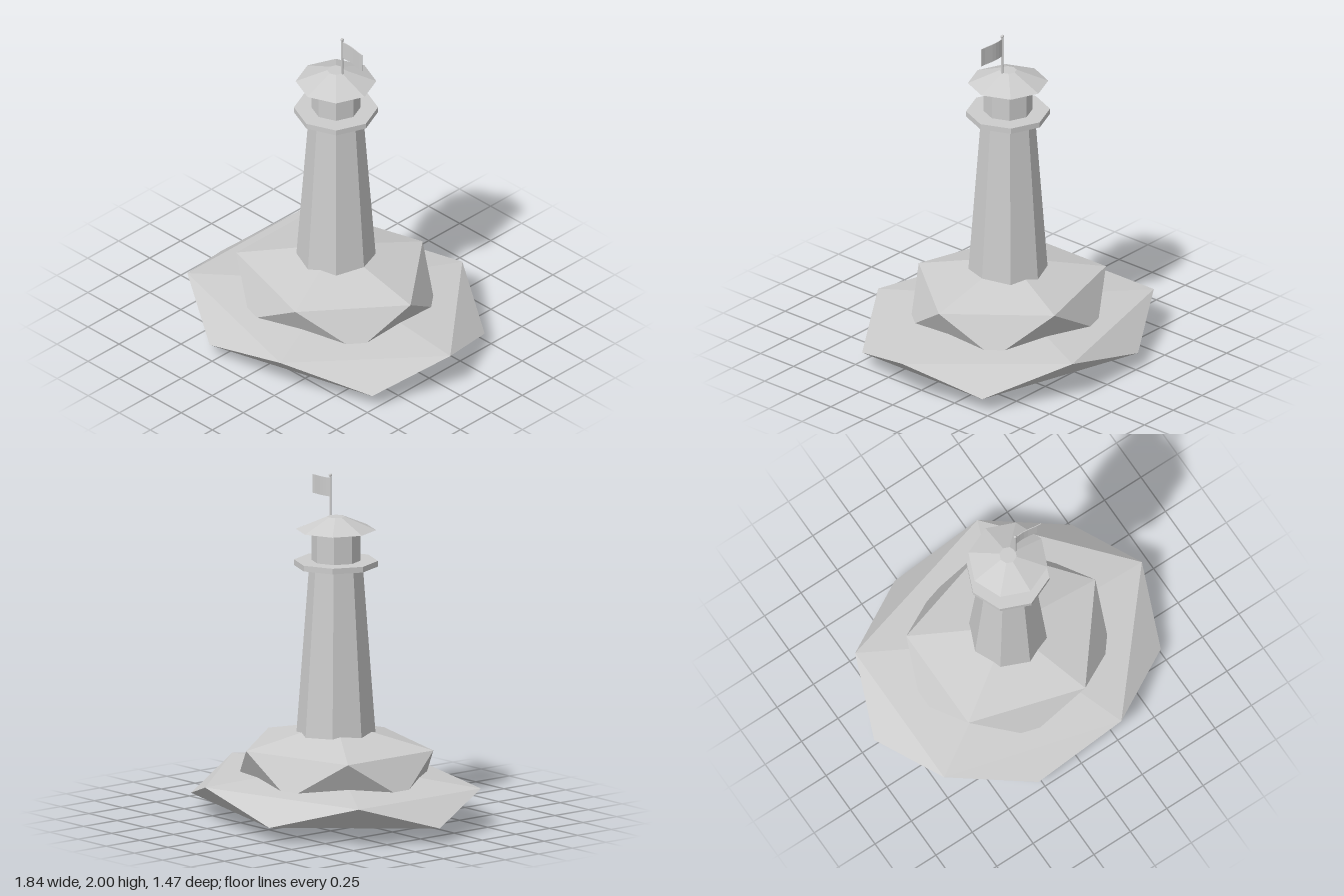
import * as THREE from 'three';
import { ConvexGeometry } from 'three/addons/geometries/ConvexGeometry.js';

const stone = new THREE.MeshStandardMaterial({ color: 0xcccccc, flatShading: true, side: THREE.DoubleSide });
stone.name = 'pale grey';

export function createModel() {
  const model = new THREE.Group();
  model.name = 'lighthouse';

  function add(name, geometry, x = 0, y = 0, z = 0) {
    const mesh = new THREE.Mesh(geometry, stone);
    mesh.name = name;
    mesh.position.set(x, y, z);
    model.add(mesh);
    return mesh;
  }

  // Squashed icosahedron: two poles and two staggered rings of five
  function rock(name, ringX, ringZ, halfHeight, y) {
    const points = [new THREE.Vector3(0, halfHeight, 0), new THREE.Vector3(0, -halfHeight, 0)];
    for (let i = 0; i < 5; i++) {
      const a = (i * Math.PI * 2) / 5;
      const x = Math.cos(a) * ringX, z = Math.sin(a) * ringZ, h = halfHeight * 0.447;
      points.push(new THREE.Vector3(x, h, z), new THREE.Vector3(-x, -h, -z));
    }
    add(name, new ConvexGeometry(points), 0, y);
  }

  // Eight-sided drum between two heights, corners on the axes
  function drum(name, rBottom, rTop, y0, y1) {
    add(name, new THREE.CylinderGeometry(rTop, rBottom, y1 - y0, 8), 0, (y0 + y1) / 2);
  }

  rock('lowerRock', 0.92, 0.773, 0.16, 0.16);
  rock('upperRock', 0.6, 0.54, 0.245, 0.32);

  drum('tower', 0.23, 0.155, 0.45, 1.455);
  drum('galleryBracket', 0.04, 0.1, 1.453, 1.472);
  drum('galleryDeck', 0.24, 0.24, 1.47, 1.503);
  drum('lanternRoom', 0.14, 0.14, 1.503, 1.687);
  drum('roof', 0.23, 0.05, 1.682, 1.758);

  // Flagpole with ball finial
  add('flagpole', new THREE.CylinderGeometry(0.006, 0.006, 0.24, 8), 0.05, 1.87);
  add('finial', new THREE.SphereGeometry(0.01, 8, 6), 0.05, 1.99);

  // Thin flag with a gentle ripple along its length
  const cloth = new THREE.BoxGeometry(0.165, 0.108, 0.004, 6, 1, 1);
  const p = cloth.attributes.position;
  for (let i = 0; i < p.count; i++) {
    const t = p.getX(i) / 0.165 + 0.5;
    p.setZ(i, p.getZ(i) + 0.005 * Math.sin(t * Math.PI * 1.5 + Math.PI) + 0.005 * t);
    p.setY(i, p.getY(i) - 0.006 * t);
  }
  cloth.computeVertexNormals();
  add('flag', cloth, 0.137, 1.92);

  return model;
}
